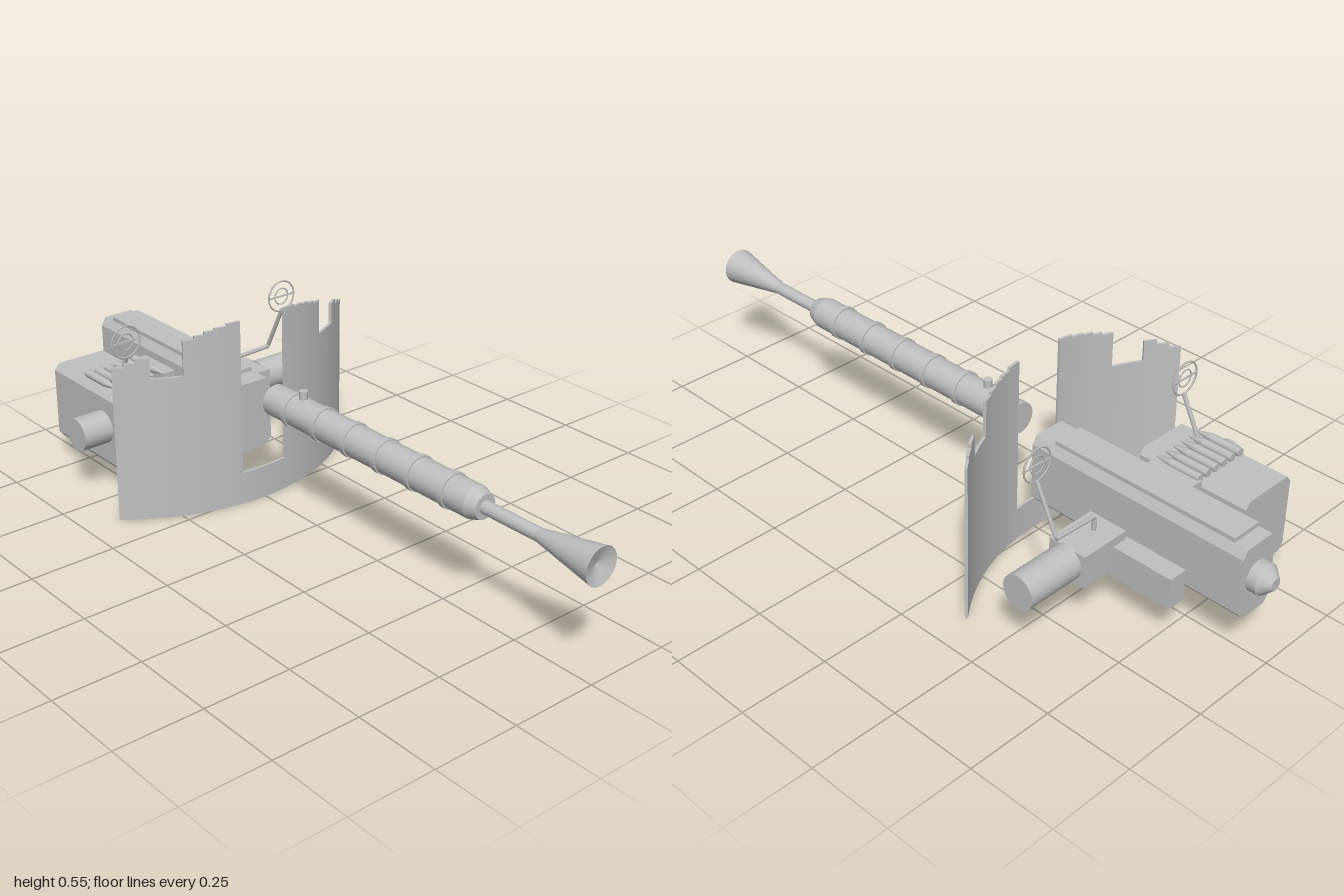
import * as THREE from 'three';

export function createModel() {
  const root = new THREE.Group();
  root.name = 'shieldedGun';
  const gunmetal = new THREE.MeshStandardMaterial({ color: 0xc0c0c0, side: THREE.DoubleSide });
  gunmetal.name = 'light gunmetal grey';

  const add = (name, geo, x = 0, y = 0, z = 0, parent = root) => {
    const m = new THREE.Mesh(geo, gunmetal);
    m.name = name;
    m.position.set(x, y, z);
    parent.add(m);
    return m;
  };
  // box given by its limits
  const box = (name, x0, x1, y0, y1, z0, z1) =>
    add(name, new THREE.BoxGeometry(x1 - x0, y1 - y0, z1 - z0), (x0 + x1) / 2, (y0 + y1) / 2, (z0 + z1) / 2);
  // round part along z, radius r0 at z0 and r1 at z1
  const rod = (name, x, y, z0, z1, r0, r1 = r0, open = false, sides = 20) =>
    add(name, new THREE.CylinderGeometry(r1, r0, z1 - z0, sides, 1, open).rotateX(Math.PI / 2), x, y, (z0 + z1) / 2);
  // cross-section in x,y drawn out along z
  const prism = (name, pts, z0, z1) =>
    add(name, new THREE.ExtrudeGeometry(new THREE.Shape(pts.map(p => new THREE.Vector2(...p))),
      { depth: z1 - z0, bevelEnabled: false }), 0, 0, z0);

  // barrel
  const Y = 0.318;
  rod('barrelJacket', 0, Y, -0.175, 0.6, 0.045);
  rod('jacketNose', 0, Y, 0.6, 0.632, 0.045, 0.034);
  rod('innerBarrel', 0, Y, 0.63, 0.83, 0.018);
  rod('flashCone', 0, Y, 0.81, 1, 0.018, 0.052, true);
  // shallow dished mouth, deepest at the centre
  const dish = new THREE.LatheGeometry([new THREE.Vector2(0.052, 0), new THREE.Vector2(0, -0.018)], 20);
  add('flashConeMouth', dish.rotateX(Math.PI / 2), 0, Y, 1);
  for (let i = 0; i < 6; i++) {
    const z = -0.09 + i * 0.122;
    rod('jacketBand', 0, Y, z - 0.008, z + 0.008, 0.049);
  }
  add('frontSight', new THREE.CylinderGeometry(0.012, 0.012, 0.03, 12), 0, 0.37, -0.055);

  // receiver
  prism('receiver', [[-0.04, 0.13], [0.04, 0.13], [0.06, 0.152], [0.06, 0.312], [0.046, 0.336],
    [-0.046, 0.336], [-0.06, 0.312], [-0.06, 0.152]], -0.945, -0.275);
  box('receiverLid', -0.045, 0.045, 0.33, 0.348, -0.905, -0.34);
  rod('rearButton', 0, 0.24, -0.972, -0.94, 0.043);
  rod('rearButtonTip', 0, 0.24, -1, -0.972, 0.017, 0.043);

  // side mounts
  for (const s of [-1, 1]) {
    const pin = new THREE.CylinderGeometry(0.048, 0.048, 0.175, 20).rotateZ(Math.PI / 2);
    add('trunnion', pin, s * 0.318, 0.193, -0.558);
  }
  box('mountBlock', 0.085, 0.235, 0.14, 0.235, -0.615, -0.5);
  box('mountBracket', 0.075, 0.13, 0.12, 0.21, -0.795, -0.605);

  // ammunition box with chamfered long edges
  prism('ammoBox', [[-0.3, 0.07], [-0.15, 0.07], [-0.135, 0.088], [-0.135, 0.282], [-0.15, 0.3],
    [-0.3, 0.3], [-0.315, 0.282], [-0.315, 0.088]], -0.805, -0.468);
  box('boxBracket', -0.145, -0.09, 0.14, 0.22, -0.705, -0.5);
  box('feedTray', -0.125, -0.085, 0.24, 0.31, -0.675, -0.53);
  for (let i = 0; i < 6; i++) {
    const x = -0.288 + i * 0.032;
    rod('cartridgeCase', x, 0.312, -0.668, -0.575, 0.012, 0.012, false, 10);
    rod('cartridgeTip', x, 0.312, -0.575, -0.53, 0.012, 0.003, false, 10);
  }

  // curved shield, built of upright arc panels
  const shield = new THREE.Group();
  shield.name = 'shield';
  root.add(shield);
  const R = 0.611, T = 0.008;
  const panel = (x0, x1, top) => {
    const a0 = Math.asin(x0 / R) - Math.PI / 2, a1 = Math.asin(x1 / R) - Math.PI / 2;
    const s = new THREE.Shape();
    s.absarc(0, 0, R, a0, a1, false);
    s.absarc(0, 0, R - T, a1, a0, true);
    const geo = new THREE.ExtrudeGeometry(s, { depth: top, bevelEnabled: false, curveSegments: 4 });
    add('shieldPanel', geo.rotateX(-Math.PI / 2), 0, 0, -0.836, shield);
  };
  panel(-0.075, 0.075, 0.096);
  const steps = [[0.075, 0.115, 0.55], [0.115, 0.15, 0.543], [0.15, 0.178, 0.538], [0.178, 0.205, 0.53],
    [0.205, 0.235, 0.522], [0.235, 0.3145, 0.42], [0.3145, 0.345, 0.48], [0.345, 0.372, 0.467], [0.372, 0.397, 0.455]];
  for (const [a, b, top] of steps) {
    panel(a, b, top);
    panel(-b, -a, top);
  }

  // ring sights on bent stalks
  for (const s of [-1, 1]) {
    const x = s * 0.272, y = 0.46, z = -0.488;
    add('sightOuterRing', new THREE.TorusGeometry(0.046, 0.0025, 6, 32), x, y, z);
    add('sightInnerRing', new THREE.TorusGeometry(0.024, 0.002, 6, 24), x, y, z);
    add('sightBar', new THREE.BoxGeometry(0.092, 0.004, 0.004), x, y, z);
    const path = new THREE.CurvePath();
    const pts = [[0.272, 0.415, z], [0.272, 0.28, -0.556], [0.137, 0.275, -0.556], [0.137, 0.225, -0.556]]
      .map(p => new THREE.Vector3(s * p[0], p[1], p[2]));
    for (let i = 0; i < 3; i++) path.add(new THREE.LineCurve3(pts[i], pts[i + 1]));
    add('sightStalk', new THREE.TubeGeometry(path, 40, 0.006, 6));
  }
  return root;
}
